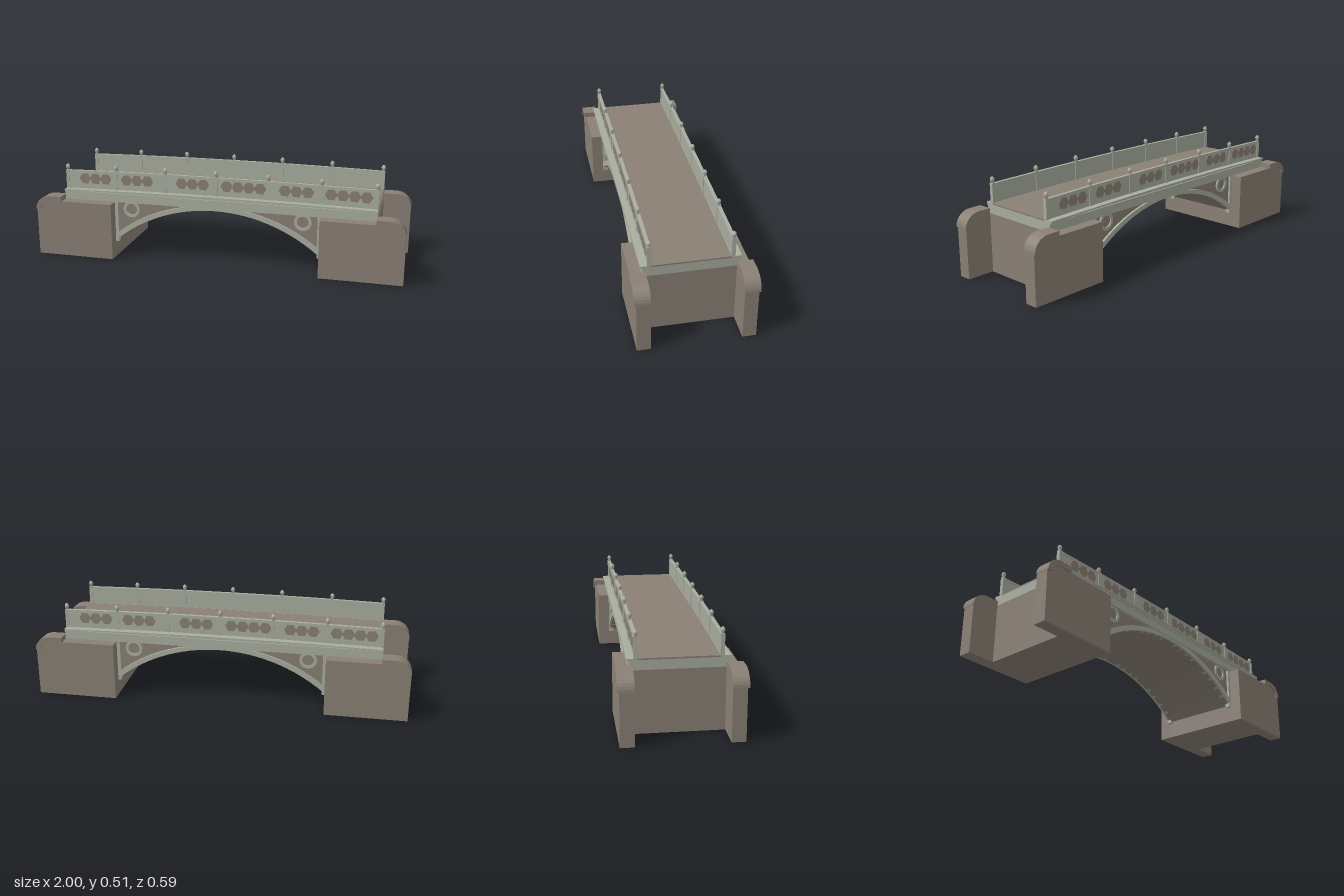
import * as THREE from 'three';

export function createModel() {
  const stone = new THREE.MeshStandardMaterial({ color: 0x8a8075, name: 'brown stone' });
  const iron = new THREE.MeshStandardMaterial({ color: 0xa8ad9f, name: 'pale green iron' });
  const model = new THREE.Group();
  model.name = 'archBridge';

  const add = (parent, name, geo, mat, x = 0, y = 0, z = 0) => {
    const m = new THREE.Mesh(geo, mat);
    m.name = name;
    m.position.set(x, y, z);
    parent.add(m);
    return m;
  };
  // box given by its limits
  const box = (parent, name, mat, x0, x1, y0, y1, z0, z1) =>
    add(parent, name, new THREE.BoxGeometry(x1 - x0, y1 - y0, z1 - z0), mat,
      (x0 + x1) / 2, (y0 + y1) / 2, (z0 + z1) / 2);
  // outline in x and y, extruded from z0 to z1
  const slab = (parent, name, mat, pts, z0, z1, holes = []) => {
    const s = new THREE.Shape(pts.map(p => new THREE.Vector2(p[0], p[1])));
    s.holes.push(...holes);
    const g = new THREE.ExtrudeGeometry(s, { depth: z1 - z0, bevelEnabled: false, curveSegments: 16 });
    return add(parent, name, g, mat, 0, 0, z0);
  };
  const sample = (a, b, n, f) => Array.from({ length: n + 1 }, (_, i) => {
    const x = a + (b - a) * i / n;
    return [x, f(x)];
  });
  // strip between two curves
  const strip = (a, b, n, low, high) => [...sample(a, b, n, low), ...sample(b, a, n, high)];

  const END = 0.85, SPRING = 0.56, R = 0.87;
  const camber = x => 0.368 + 0.01 * (1 - (x / END) ** 2);
  const arch = x => 0.30 - R + Math.sqrt(R * R - x * x);
  const archTop = x => Math.min(arch(x) + 0.02 + 0.025 * Math.abs(x), 0.33);

  // vault and spandrel walls
  slab(model, 'vault', stone, strip(-SPRING, SPRING, 20, arch, () => 0.33), -0.214, 0.214);
  // deck beam and roadway
  slab(model, 'deckBeam', iron, strip(-END, END, 16, () => 0.312, x => camber(x) - 0.008), -0.233, 0.233);
  slab(model, 'roadway', stone, strip(-END, END, 16, x => camber(x) - 0.008, camber), -0.192, 0.192);
  for (const s of [-1, 1]) {
    box(model, 'abutment', stone, s > 0 ? 0.565 : -END, s > 0 ? END : -0.565, 0, 0.312, -0.22, 0.22);
  }

  // one side of the bridge; the other is the same turned half way round
  const buildSide = () => {
    const side = new THREE.Group();
    side.name = 'bridgeSide';

    // cornice and parapet
    slab(side, 'cornice', iron, strip(-END, END, 16, x => camber(x) - 0.008, camber), 0.192, 0.242);
    box(side, 'cornicemoulding', iron, -END, END, 0.353, 0.361, 0.23, 0.24).name = 'lowerMoulding';
    slab(side, 'parapet', iron, strip(-END + 0.005, END - 0.005, 16, camber, x => camber(x) + 0.098), 0.194, 0.206);
    slab(side, 'coping', iron, strip(-END, END, 16, x => camber(x) + 0.09, x => camber(x) + 0.1), 0.191, 0.209);

    // posts with pointed finials
    const bud = [[0, 0], [0.009, 0], [0.007, 0.006], [0.011, 0.014], [0.012, 0.022], [0.008, 0.03], [0, 0.036]]
      .map(p => new THREE.Vector2(...p));
    for (let i = -3; i <= 3; i++) {
      const x = i * 0.2805, top = camber(x) + 0.102;
      box(side, 'post', iron, x - 0.009, x + 0.009, camber(x), top, 0.19, 0.21);
      add(side, 'finial', new THREE.LatheGeometry(bud, 8), iron, x, top - 0.002, 0.2);
    }

    // rows of hexagonal parapet ornaments: first centre and count
    const rows = [[-0.74, 3], [-0.5, 3], [-0.188, 3], [0.06, 4], [0.37, 3], [0.61, 4]];
    for (const [x0, n] of rows) {
      for (let i = 0; i < n; i++) {
        const hex = new THREE.CylinderGeometry(0.032, 0.032, 0.004, 6);
        hex.rotateY(Math.PI / 6).rotateX(Math.PI / 2).rotateZ(0);
        const x = x0 + i * 0.06;
        add(side, 'hexOrnament', hex, stone, x, camber(x) + 0.056, 0.2065);
      }
    }

    // arch rib
    slab(side, 'archRib', iron, strip(-SPRING, SPRING, 28, arch, archTop), 0.19, 0.226);

    for (const s of [-1, 1]) {
      const half = new THREE.Group();
      half.name = s > 0 ? 'leftHalf' : 'rightHalf';
      side.add(half);
      const bx = (name, mat, a, b, ...r) => box(half, name, mat, Math.min(s * a, s * b), Math.max(s * a, s * b), ...r);
      const mirrored = pts => (s > 0 ? pts : pts.map(([x, y]) => [-x, y]).reverse());

      // spandrel frame, foot and round ornament
      bx('spandrelPost', iron, 0.547, 0.565, 0.085, 0.322, 0.2, 0.226);
      const ring = new THREE.Shape().absarc(0, 0, 0.046, 0, Math.PI * 2);
      ring.holes.push(new THREE.Path().absarc(0, 0, 0.031, 0, Math.PI * 2, true));
      add(half, 'spandrelRing', new THREE.ExtrudeGeometry(ring, { depth: 0.01, bevelEnabled: false, curveSegments: 12 }),
        iron, s * 0.47, 0.274, 0.212);

      // wing wall with rounded end
      const arc = (r, n = 8) => Array.from({ length: n + 1 }, (_, i) => {
        const a = Math.PI / 2 * i / n;
        return [0.915 + (0.085 - r) * Math.cos(a), 0.26 + (0.077 - r) * Math.sin(a)];
      });
      slab(half, 'wingWall', stone,
        mirrored([[0.565, 0], [0.998, 0], [0.998, 0.26], ...arc(0.004), [END, 0.333], [END, 0.31], [0.565, 0.31]]),
        0.22, 0.288);
      slab(half, 'wingCap', stone,
        mirrored([...arc(0), [END, 0.337], [END, 0.31], ...arc(0.027).reverse()]),
        0.219, 0.297);
    }
    return side;
  };

  const front = buildSide();
  const back = buildSide();
  back.rotation.y = Math.PI;
  model.add(front, back);
  return model;
}
